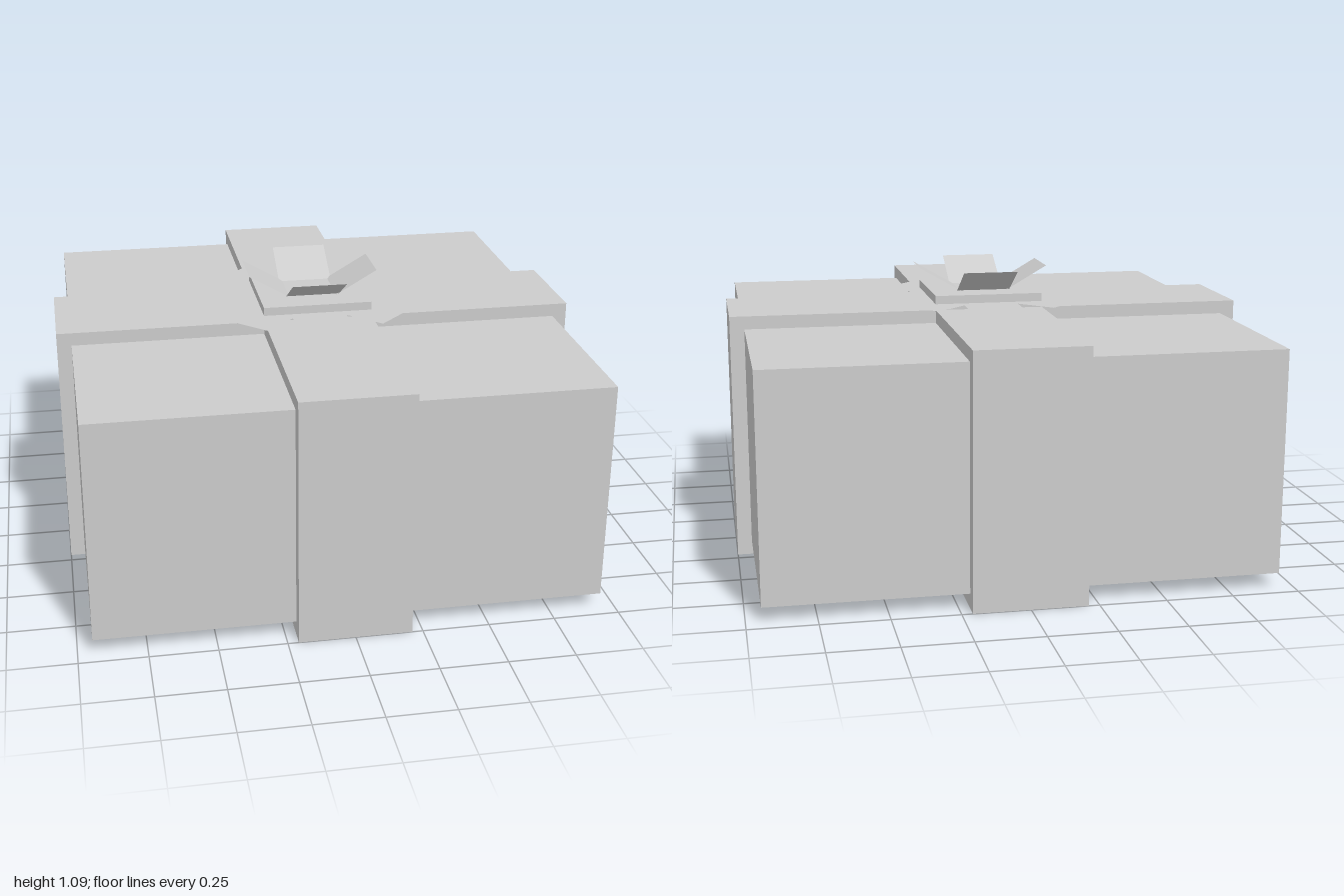
import * as THREE from 'three';

export function createModel() {
  const group = new THREE.Group();
  const grey = new THREE.MeshStandardMaterial({ color: 0xcccccc });
  grey.name = 'light grey';
  grey.side = THREE.DoubleSide; // petals are open sheets

  const add = (name, geometry, x = 0, y = 0, z = 0) => {
    const mesh = new THREE.Mesh(geometry, grey);
    mesh.name = name;
    mesh.position.set(x, y, z);
    group.add(mesh);
    return mesh;
  };

  // Gift box body
  add('box', new THREE.BoxGeometry(1.89, 0.84, 1.89), 0, 0.475, 0);

  // Crossed ribbon bands wrapping every side, as one plus-shaped solid
  const w = 0.21, height = 0.945;
  const plus = new THREE.Shape([
    [w, w], [w, 1], [-w, 1], [-w, w], [-1, w], [-1, -w],
    [-w, -w], [-w, -1], [w, -1], [w, -w], [1, -w], [1, w],
  ].map(([x, y]) => new THREE.Vector2(x, y)));
  const ribbon = new THREE.ExtrudeGeometry(plus, { depth: height, bevelEnabled: false });
  ribbon.rotateX(-Math.PI / 2);
  add('ribbon', ribbon);

  // Square knot in the middle of the top
  add('knot', new THREE.BoxGeometry(2 * w, 0.06, 2 * w), 0, 0.97, 0);

  // Thin petal sheet running outward along +z, raised by a tilt and turned about y
  const petal = (name, inner, outer, y, tilt, turn) => {
    const sheet = new THREE.PlaneGeometry(0.21, outer - inner);
    sheet.rotateX(-Math.PI / 2);
    sheet.translate(0, 0, (inner + outer) / 2);
    sheet.rotateX(-tilt);
    sheet.rotateY(turn);
    add(name, sheet, 0, y, 0);
  };

  // Eight flat petals around the knot, four raised ones above it
  for (let i = 0; i < 8; i++) petal('flatPetal', 0.15, 0.418, 0.968, 0, i * Math.PI / 4);
  for (let i = 0; i < 4; i++) petal('raisedPetal', 0.09, 0.29, 0.947, Math.PI / 6, i * Math.PI / 2);

  return group;
}
